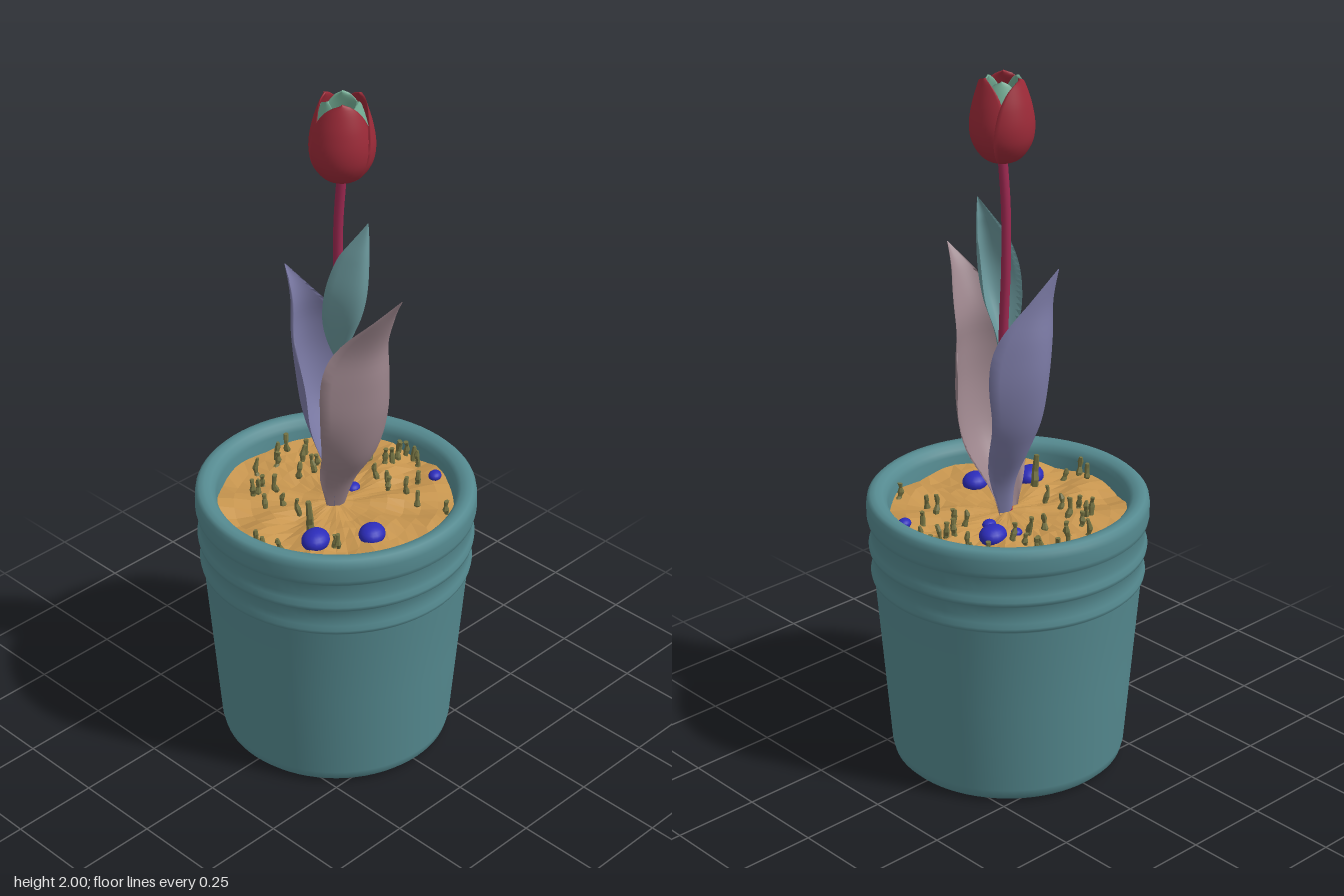
import * as THREE from 'three';

const V = (x, y, z) => new THREE.Vector3(x, y, z);
const paint = (color, extra = {}) => new THREE.MeshStandardMaterial({ color, ...extra });
const thin = { side: THREE.DoubleSide };

let seed = 7;
const rand = () => (seed = (seed * 16807) % 2147483647) / 2147483647;

function add(parent, name, geometry, material, position) {
  const mesh = new THREE.Mesh(geometry, material);
  mesh.name = name;
  if (position) mesh.position.copy(position);
  parent.add(mesh);
  return mesh;
}

// Closed thin sheet: at(u, v, t) gives a point, u along, v across (-1..1), t through (0..1)
function sheet(at, nu = 32, nv = 14) {
  const pos = [], index = [], n = nv * 2;
  for (let i = 0; i <= nu; i++) {
    for (let j = 0; j < n; j++) {
      const v = j <= nv ? -1 + (2 * j) / nv : 3 - (2 * j) / nv;
      const p = at(i / nu, v, j <= nv ? 0 : 1 - v * v);
      pos.push(p.x, p.y, p.z);
    }
  }
  for (let i = 0; i < nu; i++) {
    for (let j = 0; j < n; j++) {
      const a = i * n + j, b = i * n + (j + 1) % n;
      index.push(a, b, a + n, b, b + n, a + n);
    }
  }
  const g = new THREE.BufferGeometry();
  g.setAttribute('position', new THREE.Float32BufferAttribute(pos, 3));
  g.setIndex(index);
  g.computeVertexNormals();
  return g;
}

// Cupped leaf from rows of [x, y, z, half width]; its edges curl towards the inward direction
function leaf(rows, inward, cup, wave) {
  const mid = new THREE.CatmullRomCurve3(rows.map(r => V(r[0], r[1], r[2])));
  const width = new THREE.CatmullRomCurve3(rows.map((r, i) => V(r[3], i, 0)));
  inward.normalize();
  const side = V(-inward.z, 0, inward.x);
  return sheet((u, v, t) => {
    const w = Math.max(0, width.getPoint(u).x);
    const ripple = wave * Math.sin(u * 13 + v) * v * v * Math.min(1, w / 0.05);
    return mid.getPoint(u)
      .addScaledVector(side, w * v)
      .addScaledVector(inward, cup * w * v * v + ripple + 0.009 * t * Math.min(1, w / 0.03));
  });
}

// Tulip petal wrapped around the flower axis
const cupProfile = new THREE.CatmullRomCurve3([
  V(0.008, 0, 0), V(0.05, 0.018, 0), V(0.08, 0.06, 0), V(0.088, 0.105, 0),
  V(0.081, 0.16, 0), V(0.068, 0.205, 0), V(0.055, 0.24, 0)]);
function petal(azimuth, spread, scale, height) {
  return sheet((u, v, t) => {
    const p = cupProfile.getPoint(u);
    const a = azimuth + v * spread * Math.pow(Math.max(0, 1 - u ** 4), 0.6);
    const r = p.x * scale + 0.003 * v * u - 0.007 * t * Math.min(1, u * 4);
    return V(r * Math.cos(a), p.y * height, r * Math.sin(a));
  }, 28, 18);
}

export function createModel() {
  const model = new THREE.Group();
  model.name = 'pottedTulip';

  // Pot with ridges, rolled rim and inner wall
  const profile = [
    [0, 0], [0.3, 0], [0.318, 0.004], [0.33, 0.016], [0.336, 0.04], [0.357, 0.3], [0.378, 0.56],
    [0.386, 0.568], [0.388, 0.578], [0.383, 0.592], [0.381, 0.61], [0.382, 0.64],
    [0.391, 0.648], [0.393, 0.66], [0.387, 0.674], [0.385, 0.69], [0.386, 0.728],
    [0.394, 0.736], [0.397, 0.75], [0.397, 0.785], [0.394, 0.802], [0.385, 0.811], [0.37, 0.813],
    [0.352, 0.808], [0.341, 0.796], [0.336, 0.78], [0.332, 0.74], [0.326, 0.69]];
  add(model, 'pot', new THREE.LatheGeometry(profile.map(p => new THREE.Vector2(...p)), 72),
    paint(0x558a90, thin));

  // Rough soil
  const soilHeight = (x, z) => 0.748
    + 0.008 * Math.sin(9 * Math.atan2(z, x) + 18 * Math.hypot(x, z)) * Math.min(1, Math.hypot(x, z) * 5)
    + 0.006 * Math.sin(31 * x + 2) * Math.sin(27 * z + 1);
  const soil = new THREE.RingGeometry(0.002, 0.336, 48, 7).rotateX(-Math.PI / 2);
  const sp = soil.attributes.position;
  for (let i = 0; i < sp.count; i++) sp.setY(i, soilHeight(sp.getX(i), sp.getZ(i)));
  add(model, 'soil', soil, paint(0xc8964f, { flatShading: true }));

  // Pebbles: x, z, size
  const pebbles = new THREE.Group();
  pebbles.name = 'pebbles';
  model.add(pebbles);
  const blue = paint(0x2c2cba);
  for (const [x, z, s] of [[-0.1, -0.15, 0.041], [0.12, -0.28, 0.02], [-0.12, -0.08, 0.017],
    [-0.02, -0.09, 0.021], [0.195, 0.055, 0.04], [0.11, 0.19, 0.042]]) {
    const m = add(pebbles, 'pebble', new THREE.SphereGeometry(s, 18, 12), blue,
      V(x, soilHeight(x, z) + s * 0.15, z));
    m.scale.set(0.92, 0.7, 1.08);
    m.rotation.y = 0.4;
  }

  // Small sprouts, positions in hundredths
  const sprouts = new THREE.Group();
  sprouts.name = 'sprouts';
  model.add(sprouts);
  const olive = paint(0x747242, { flatShading: true });
  const spots = [[-5, -31], [-3, -32], [0, -32], [3, -30], [-3, -28], [-15, -28], [-23, -24],
    [-16, -22], [-9, -23], [-3, -23], [-2, -25], [10, -23], [27, -17], [0, -16], [4, -17], [6, -15],
    [12, -16], [17, -15], [-24, -12], [-29, -9], [-23, -9], [-18, -10], [-15, -12], [-15, -6],
    [-16, -1], [-27, -3], [-24, 0], [-26, 6], [-20, 9], [-15, 9], [-12, 16], [-18, 13], [-18, 15],
    [-9, 12], [-3, 12], [6, 16], [15, 16], [16, 15], [5, 27], [0, 31], [4, 32]];
  for (const [x, z] of spots) {
    const h = x === 6 && z === 16 ? 0.1 : 0.045 + 0.02 * rand();
    const g = new THREE.CylinderGeometry(0.006, 0.009, h, 6, 4).translate(0, h / 2 - 0.008, 0);
    const p = g.attributes.position;
    const phase = rand() * 6;
    for (let i = 0; i < p.count; i++) {
      const y = p.getY(i), k = 1 + 0.3 * Math.sin(y * 260 + phase);
      p.setXYZ(i, p.getX(i) * k + 0.004 * Math.sin(y * 90 + phase), y, p.getZ(i) * k);
    }
    const m = add(sprouts, 'sprout', g, olive, V(x / 100, soilHeight(x / 100, z / 100), z / 100));
    m.rotation.set((rand() - 0.5) * 0.3, rand() * 6, (rand() - 0.5) * 0.3);
  }

  // Stem
  const stem = new THREE.CatmullRomCurve3([V(0, 0.72, 0), V(0.006, 0.88, 0), V(0.019, 1.1, 0),
    V(0.018, 1.28, 0), V(0.011, 1.48, 0.003), V(0.015, 1.64, 0.006), V(0.025, 1.775, 0.004)]);
  add(model, 'stem', new THREE.TubeGeometry(stem, 48, 0.0135, 12), paint(0x9c2850));

  // Leaves
  add(model, 'leftLeaf', leaf([[0.02, 0.73, 0, 0.035], [0.06, 0.84, 0, 0.065],
    [0.125, 0.95, 0, 0.103], [0.158, 1.08, 0, 0.134], [0.165, 1.2, 0, 0.13],
    [0.165, 1.3, 0, 0.095], [0.2, 1.4, 0, 0.052], [0.245, 1.485, 0, 0.002]],
  V(-1, 0, 0), 0.72, 0.012), paint(0x9c858c, thin));
  add(model, 'rightLeaf', leaf([[-0.01, 0.73, 0, 0.025], [-0.022, 0.84, 0, 0.045],
    [-0.07, 0.95, 0, 0.075], [-0.11, 1.05, 0.005, 0.1], [-0.13, 1.17, 0.01, 0.113],
    [-0.127, 1.28, 0.025, 0.1], [-0.115, 1.38, 0.045, 0.055], [-0.125, 1.485, 0.07, 0.002]],
  V(1, 0, -0.12), 0.85, 0.01), paint(0x7c7ba6, thin));
  add(model, 'upperLeaf', leaf([[0.03, 1.21, 0, 0.012], [0.06, 1.29, 0.012, 0.036],
    [0.098, 1.38, 0.015, 0.06], [0.114, 1.46, 0.012, 0.064], [0.112, 1.55, 0, 0.046],
    [0.105, 1.61, -0.012, 0.022], [0.1, 1.655, -0.02, 0.001]],
  V(-1, 0, -0.15), 1.35, 0.004), paint(0x6b989c, thin));

  // Flower: three outer petals, three inner petals
  const flower = new THREE.Group();
  flower.name = 'flower';
  flower.position.set(0.025, 1.76, 0.003);
  model.add(flower);
  const red = paint(0x9c2a38, thin), green = paint(0x74ad95, thin);
  for (let i = 0; i < 3; i++) {
    const a = Math.PI / 4 + (i * Math.PI * 2) / 3;
    add(flower, 'outerPetal', petal(a, 1.3, 1, 1), red);
    add(flower, 'innerPetal', petal(a + Math.PI / 3, 1.2, 0.85, 0.985), green);
  }

  // Stamens and pistil
  const teal = paint(0x2fb5a0), orange = paint(0xd09a70);
  for (let i = 0; i < 6; i++) {
    const a = (i * Math.PI) / 3, tip = V(0.025 * Math.cos(a), 0.15, 0.025 * Math.sin(a));
    const path = new THREE.CatmullRomCurve3([V(0, 0.02, 0), V(tip.x * 0.7, 0.08, tip.z * 0.7), tip]);
    add(flower, 'filament', new THREE.TubeGeometry(path, 8, 0.003, 6), teal);
    add(flower, 'anther', new THREE.SphereGeometry(0.008, 10, 8), teal, tip).scale.y = 1.6;
  }
  add(flower, 'pistil', new THREE.CylinderGeometry(0.007, 0.01, 0.13, 10), orange, V(0, 0.08, 0));
  for (let i = 0; i < 3; i++) {
    const a = (i * Math.PI * 2) / 3;
    add(flower, 'stigma', new THREE.SphereGeometry(0.008, 10, 8), orange,
      V(0.008 * Math.cos(a), 0.147, 0.008 * Math.sin(a)));
  }
  return model;
}
